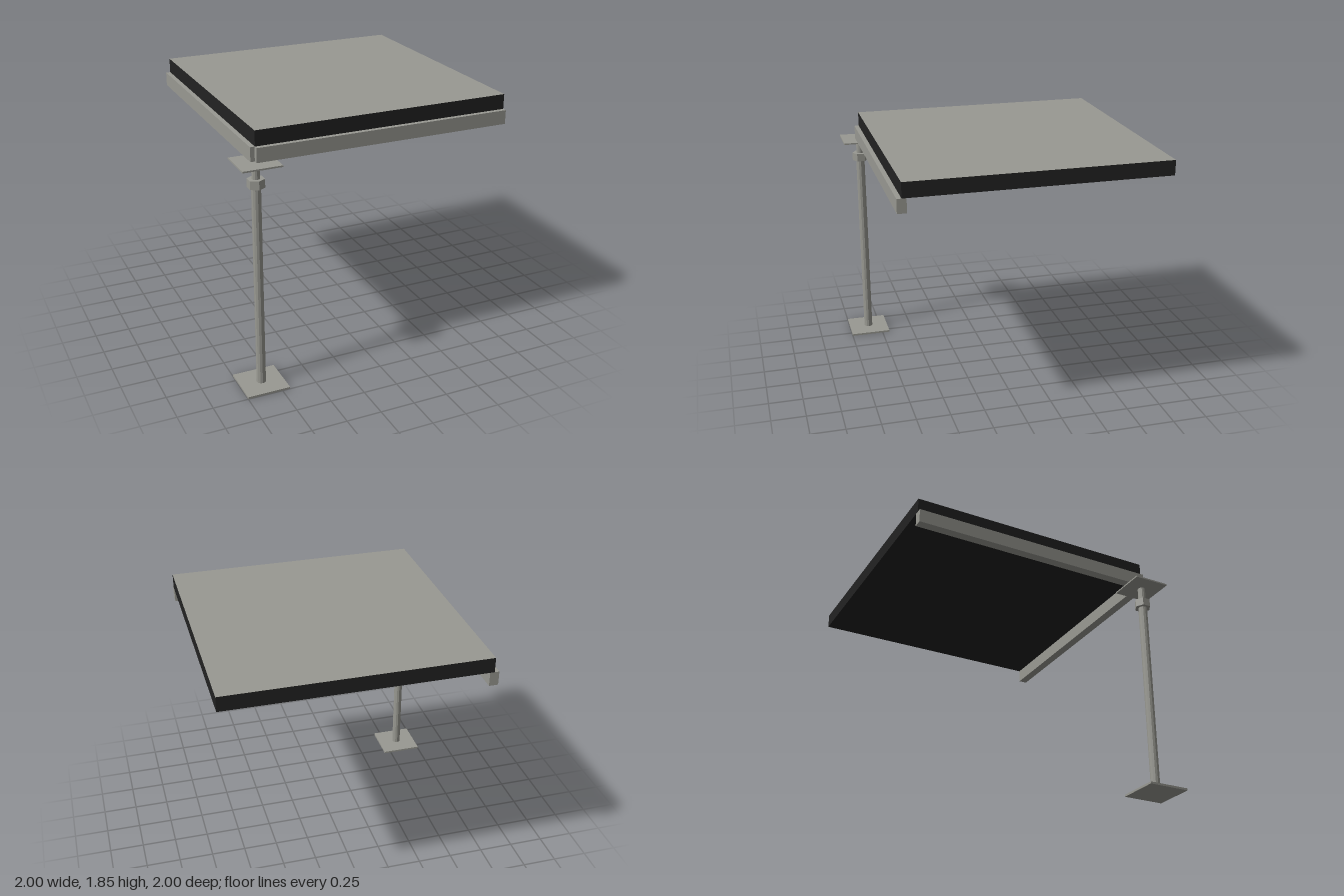
import * as THREE from 'three';

export function createModel() {
  const model = new THREE.Group();
  model.name = 'cornerPanelOnPost';

  const steel = new THREE.MeshStandardMaterial({ color: 0x999992, flatShading: true });
  steel.name = 'grey steel';
  const black = new THREE.MeshStandardMaterial({ color: 0x222222 });
  black.name = 'black edging';

  const add = (name, geometry, material, x, y, z) => {
    const mesh = new THREE.Mesh(geometry, material);
    mesh.name = name;
    mesh.position.set(x, y, z);
    model.add(mesh);
    return mesh;
  };
  // Box given by its lower and upper corners
  const box = (name, a, b, material) => add(
    name,
    new THREE.BoxGeometry(b[0] - a[0], b[1] - a[1], b[2] - a[2]),
    material,
    (a[0] + b[0]) / 2, (a[1] + b[1]) / 2, (a[2] + b[2]) / 2
  );
  // Upright prism between two heights on the post axis
  const px = -0.847, pz = 0.847;
  const column = (name, radius, y0, y1, sides) => add(
    name, new THREE.CylinderGeometry(radius, radius, y1 - y0, sides),
    steel, px, (y0 + y1) / 2, pz
  );
  const plate = (name, half, y0, y1) => box(
    name, [px - half, y0, pz - half], [px + half, y1, pz + half], steel
  );

  // Adjustable post
  plate('basePlate', 0.153, 0, 0.015);
  column('outerTube', 0.033, 0.015, 1.47, 12);
  column('adjustingNut', 0.06, 1.467, 1.527, 6);
  column('innerTube', 0.028, 1.527, 1.632, 12);
  plate('headPlate', 0.136, 1.632, 1.643);

  // Two stringers meeting over the post
  box('frontStringer', [-0.85, 1.643, 0.815], [1, 1.743, 0.88], steel);
  box('sideStringer', [-0.88, 1.643, -1], [-0.815, 1.743, 0.847], steel);

  // Floor panel: grey top face, black edges and underside
  box('floorPanel', [-0.847, 1.743, -1], [1, 1.85, 0.847],
    [black, black, steel, black, black, black]);

  return model;
}
